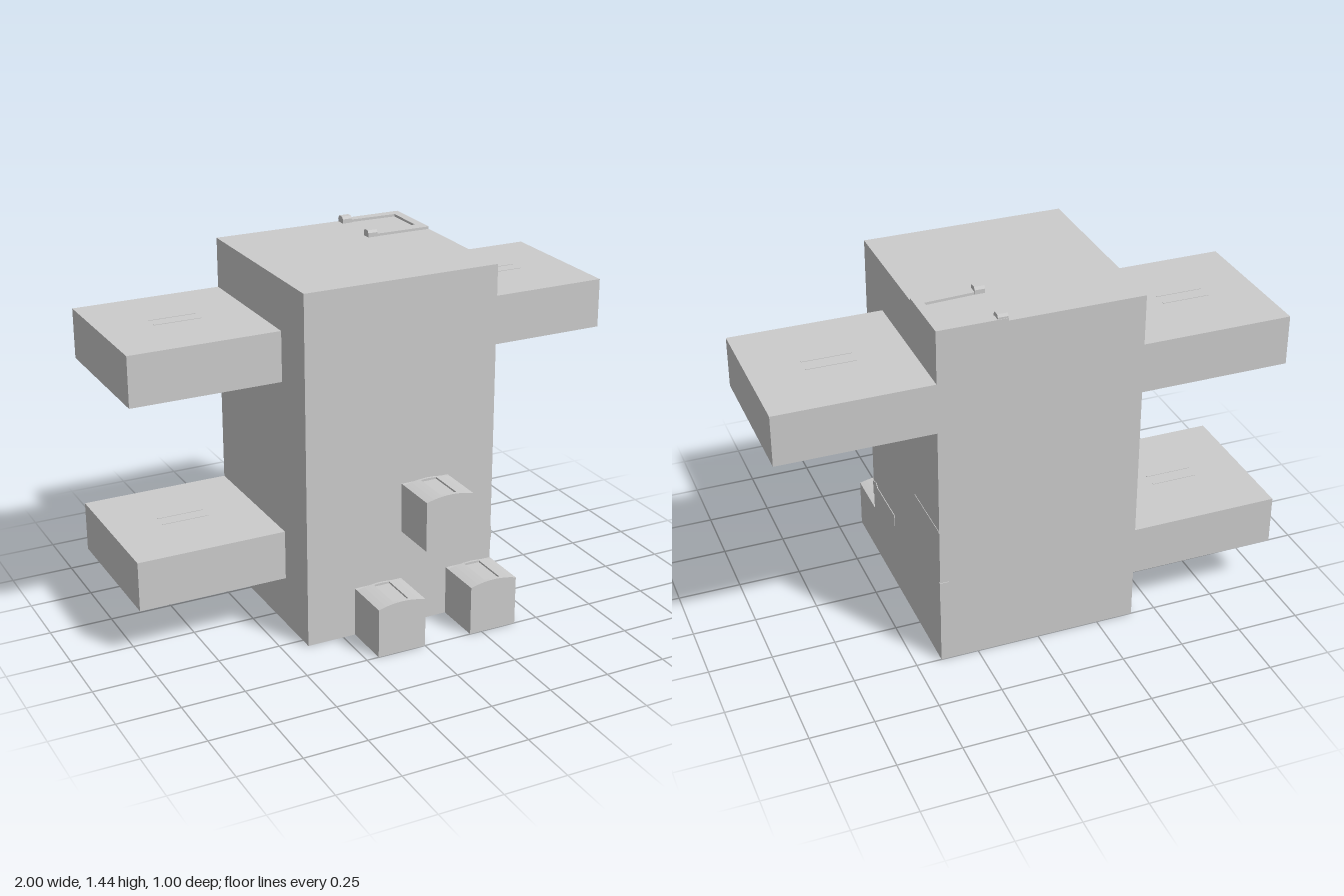
import * as THREE from 'three';

const material = new THREE.MeshStandardMaterial({ color: 0xcccccc, flatShading: true });

export function createModel() {
  const model = new THREE.Group();

  const add = (name, geometry, parent = model) => {
    const mesh = new THREE.Mesh(geometry, material);
    mesh.name = name;
    parent.add(mesh);
    return mesh;
  };

  // Box given by its extents along each axis
  const box = (name, [x0, x1], [y0, y1], [z0, z1], parent = model) => {
    const mesh = add(name, new THREE.BoxGeometry(x1 - x0, y1 - y0, z1 - z0), parent);
    mesh.position.set((x0 + x1) / 2, (y0 + y1) / 2, (z0 + z1) / 2);
    return mesh;
  };

  const extrude = (shape, depth) =>
    new THREE.ExtrudeGeometry(shape, { depth, bevelEnabled: false, curveSegments: 10 });

  // Tall main block
  const top = 1.415;
  box('body', [-0.4, 0.4], [0, top], [-0.5, 0.3]);

  // Side slabs, each with two fine ridges on top
  function sideSlab(name, side, y) {
    const slab = new THREE.Group();
    slab.name = name;
    model.add(slab);
    const span = (a, b) => (side > 0 ? [a, b] : [-b, -a]);
    box('slab', span(0.4, 1), [y, y + 0.2], [-0.5, 0.1], slab);
    for (const z of [-0.235, -0.176]) {
      box('slabRidge', span(0.605, 0.795), [y + 0.199, y + 0.202], [z, z + 0.006], slab);
    }
  }
  sideSlab('upperLeftSlab', 1, 1.015);
  sideSlab('upperRightSlab', -1, 1.015);
  sideSlab('lowerRightSlab', -1, 0.2);

  // Front blocks with a gently arched lid and a shallow channel in it
  const arch = (x) => 0.015 * (1 - (x / 0.1) ** 2);
  function lidShape(channel) {
    const points = [new THREE.Vector2(-0.1, 0)];
    const xs = [-0.085, -0.07, -0.05, -0.033, -0.015, 0, 0.015, 0.033, 0.05, 0.07, 0.085];
    for (const x of xs) {
      const p = new THREE.Vector2(x, arch(x));
      const floor = new THREE.Vector2(x, 0.006);
      if (!channel || Math.abs(x) > 0.033) points.push(p);
      else if (x === -0.033) points.push(p, floor);
      else if (x === 0.033) points.push(floor, p);
    }
    points.push(new THREE.Vector2(0.1, 0));
    return new THREE.Shape(points);
  }
  function frontBlock(x, y) {
    const block = new THREE.Group();
    block.name = 'frontBlock';
    block.position.set(x, y, 0);
    model.add(block);
    box('blockBase', [-0.1, 0.1], [0, 0.2], [0.3, 0.5], block);
    for (const [z0, z1, channel] of [[0.32, 0.33, false], [0.33, 0.485, true], [0.485, 0.5, false]]) {
      add('blockLid', extrude(lidShape(channel), z1 - z0), block).position.set(0, 0.2, z0);
    }
  }
  frontBlock(-0.1, 0);
  frontBlock(0.3, 0);
  frontBlock(0.1, 0.4);

  // U-shaped bracket lying on the top corner (shape y becomes -z)
  const u = [
    [0.13, 0.5], [0.4, 0.5], [0.4, 0.235], [0.13, 0.235],
    [0.13, 0.27], [0.365, 0.285], [0.365, 0.46], [0.13, 0.465],
  ].map(([x, y]) => new THREE.Vector2(x, y));
  const bracket = add('topBracket', extrude(new THREE.Shape(u), 0.01));
  bracket.rotation.x = -Math.PI / 2;
  bracket.position.y = top;

  // Raised trapezoid caps at the bracket ends
  const cap = new THREE.Shape(
    [[-0.02, 0], [0.02, 0], [0.02, 0.018], [0.012, 0.028], [-0.012, 0.028], [-0.02, 0.018]]
      .map(([x, y]) => new THREE.Vector2(x, y)));
  for (const z of [-0.478, -0.253]) {
    const mesh = add('bracketCap', extrude(cap, 0.04));
    mesh.rotation.y = Math.PI / 2;
    mesh.position.set(0.13, top - 0.001, z);
  }

  // Shallow strap with a flared head on the left face (shape x becomes -z)
  const strapOutline = [
    [-0.3, 0.275], [-0.262, 0.263], [-0.245, 0.28], [-0.03, 0.28],
    [-0.03, 0.33], [-0.245, 0.33], [-0.262, 0.345], [-0.3, 0.335],
  ].map(([x, y]) => new THREE.Vector2(x, y));
  const strap = add('sideStrap', extrude(new THREE.Shape(strapOutline), 0.003));
  strap.rotation.y = Math.PI / 2;
  strap.position.x = 0.4;

  // Fine seam on the left face and tab at the rear corner
  box('sideSeam', [0.399, 0.402], [0.586, 0.592], [-0.5, -0.23]);
  box('rearTab', [0.365, 0.402], [0.25, 0.36], [-0.503, -0.49]);

  return model;
}
